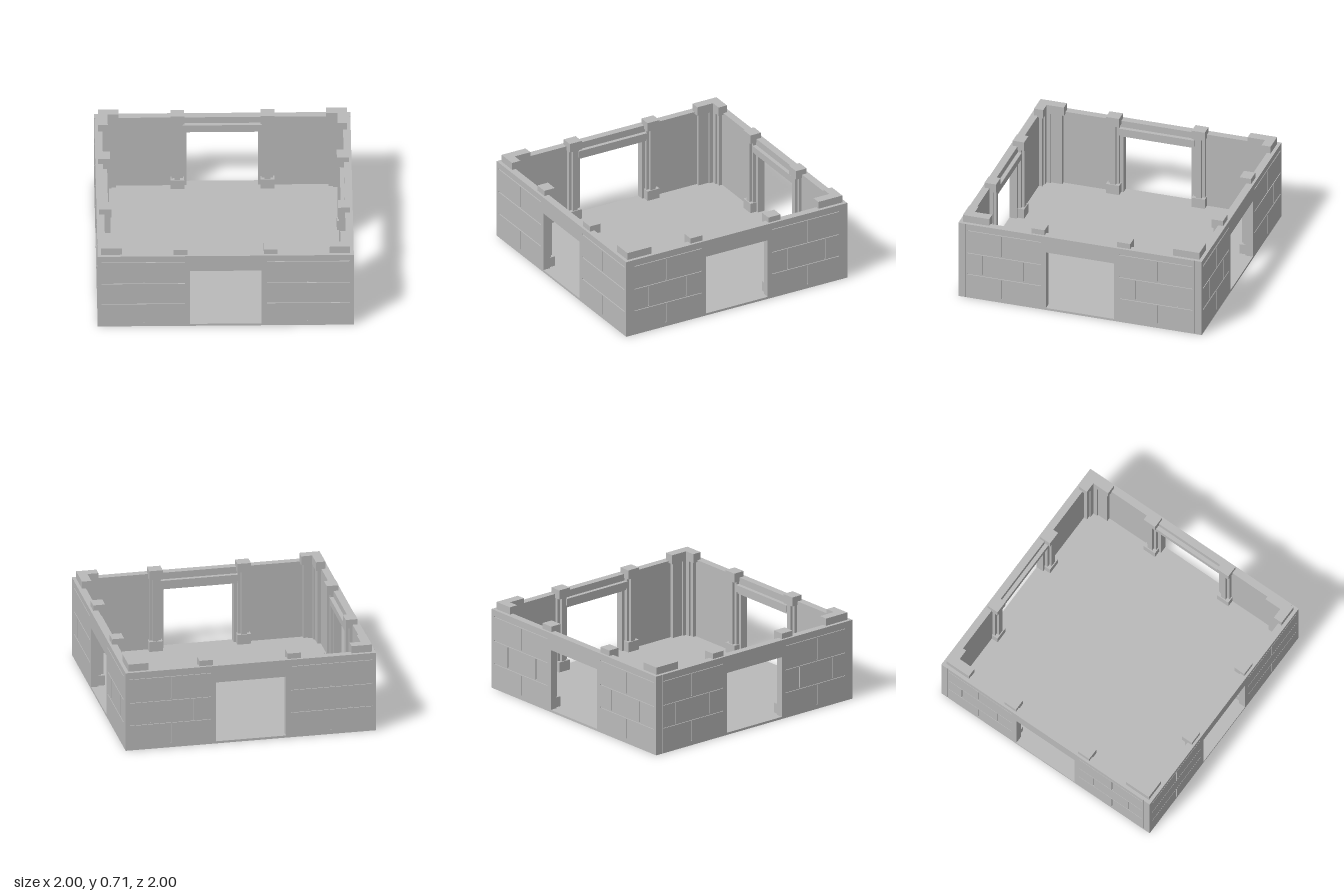
import * as THREE from 'three';

const H = 0.655, FLOOR = 0.018, DOOR = 0.28, DOOR_TOP = 0.515;
const INNER = 0.94, SKIN = 0.008;

export function createModel() {
  const stone = new THREE.MeshStandardMaterial({ color: 0xbababa });
  stone.name = 'grey stone';
  const model = new THREE.Group();
  model.name = 'walledRoom';

  const add = (parent, name, geometry) => {
    const mesh = new THREE.Mesh(geometry, stone);
    mesh.name = name;
    parent.add(mesh);
    return mesh;
  };
  // Box given by its lower and upper limits
  const box = (parent, name, x0, x1, y0, y1, z0, z1) => {
    const mesh = add(parent, name, new THREE.BoxGeometry(x1 - x0, y1 - y0, z1 - z0));
    mesh.position.set((x0 + x1) / 2, (y0 + y1) / 2, (z0 + z1) / 2);
    return mesh;
  };
  const polygon = (points, Type = THREE.Shape) => new Type(points.map(p => new THREE.Vector2(...p)));
  const rect = (x0, x1, y0, y1, Type) => polygon([[x0, y0], [x1, y0], [x1, y1], [x0, y1]], Type);
  const extrude = (shape, depth) => new THREE.ExtrudeGeometry(shape, { depth, bevelEnabled: false });

  // Floor slab, raised a little inside the wall footing
  box(model, 'floor', -INNER, INNER, 0.01, FLOOR, -INNER, INNER);

  // Masonry joints: horizontal courses and staggered upright joints
  const courses = [0.6, 0.4, 0.21, 0.025];
  const t = 0.004;
  function joints(half, staggered) {
    const list = [];
    const end = Math.min(0.97, half - 0.012);
    for (const s of [-1, 1]) {
      const slit = (a, b, y0, y1) => list.push(rect(Math.min(s * a, s * b), Math.max(s * a, s * b), y0, y1, THREE.Path));
      courses.slice(0, 3).forEach(y => slit(0.32, end, y - t, y + t));
      for (let row = 0; row < 3; row++) {
        const seams = row !== 1 ? [0.64] : staggered ? [0.46, 0.8] : [];
        seams.forEach(x => slit(x - t, x + t, courses[row + 1] + 0.01, courses[row] - 0.01));
      }
    }
    return list;
  }

  // One side of the room, facing +z, with doorway, posts and lintel
  function side(name, half, staggered) {
    const g = new THREE.Group();
    g.name = name;

    const core = rect(-half, half, 0, H);
    core.holes.push(rect(-DOOR, DOOR, FLOOR, DOOR_TOP, THREE.Path));
    add(g, 'wallCore', extrude(core, 1 - SKIN - INNER)).position.z = INNER;

    const w = half < 1 ? half - 0.003 : half;
    const skin = rect(-w, w, 0, H);
    skin.holes.push(rect(-DOOR, DOOR, FLOOR, DOOR_TOP, THREE.Path), ...joints(w, staggered));
    add(g, 'jointedFacing', extrude(skin, SKIN)).position.z = 1 - SKIN;

    // Posts beside the doorway
    for (const s of [-1, 1]) {
      const post = new THREE.Group();
      post.name = 'doorPost';
      post.position.x = s * 0.352;
      box(post, 'postCap', -0.054, 0.054, 0.625, 0.7, 0.885, 0.98);
      box(post, 'postShaft', -0.045, 0.045, FLOOR, 0.63, 0.915, INNER);
      box(post, 'postRib', -0.022, 0.022, FLOOR, 0.63, 0.893, 0.92);
      box(post, 'postBase', -0.054, 0.054, 0.004, 0.1, 0.885, 0.965);
      g.add(post);
    }
    // Lintel with a thin ledge under it
    box(g, 'lintel', -0.31, 0.31, 0.545, 0.6, 0.908, INNER);
    box(g, 'lintelLedge', -0.31, 0.31, 0.525, 0.545, 0.925, INNER);
    model.add(g);
    return g;
  }
  side('frontWall', 1, false);
  side('leftWall', INNER, true).rotation.y = Math.PI / 2;
  side('backWall', 1, true).rotation.y = Math.PI;
  side('rightWall', INNER, true).rotation.y = -Math.PI / 2;

  // L-shaped corner piers; sx and sz pick the corner
  function cornerPart(parent, name, sx, sz, outer, inner, endX, endZ, y0, y1) {
    const pts = [[outer, outer], [endX, outer], [endX, inner], [inner, inner], [inner, endZ], [outer, endZ]];
    const shape = polygon(pts.map(([x, z]) => [sx * x, -sz * z]));
    const mesh = add(parent, name, extrude(shape, y1 - y0));
    mesh.rotation.x = -Math.PI / 2;
    mesh.position.y = y0;
  }
  for (const sx of [-1, 1]) for (const sz of [-1, 1]) {
    const pier = new THREE.Group();
    pier.name = 'cornerPier';
    cornerPart(pier, 'pierCap', sx, sz, 0.972, 0.897, 0.81, 0.755, 0.64, 0.715);
    cornerPart(pier, 'pierShaft', sx, sz, 0.96, 0.912, 0.83, 0.775, 0.004, 0.64);
    cornerPart(pier, 'pierInnerRib', sx, sz, 0.95, 0.9, 0.865, 0.865, FLOOR, 0.64);
    model.add(pier);
  }
  return model;
}
